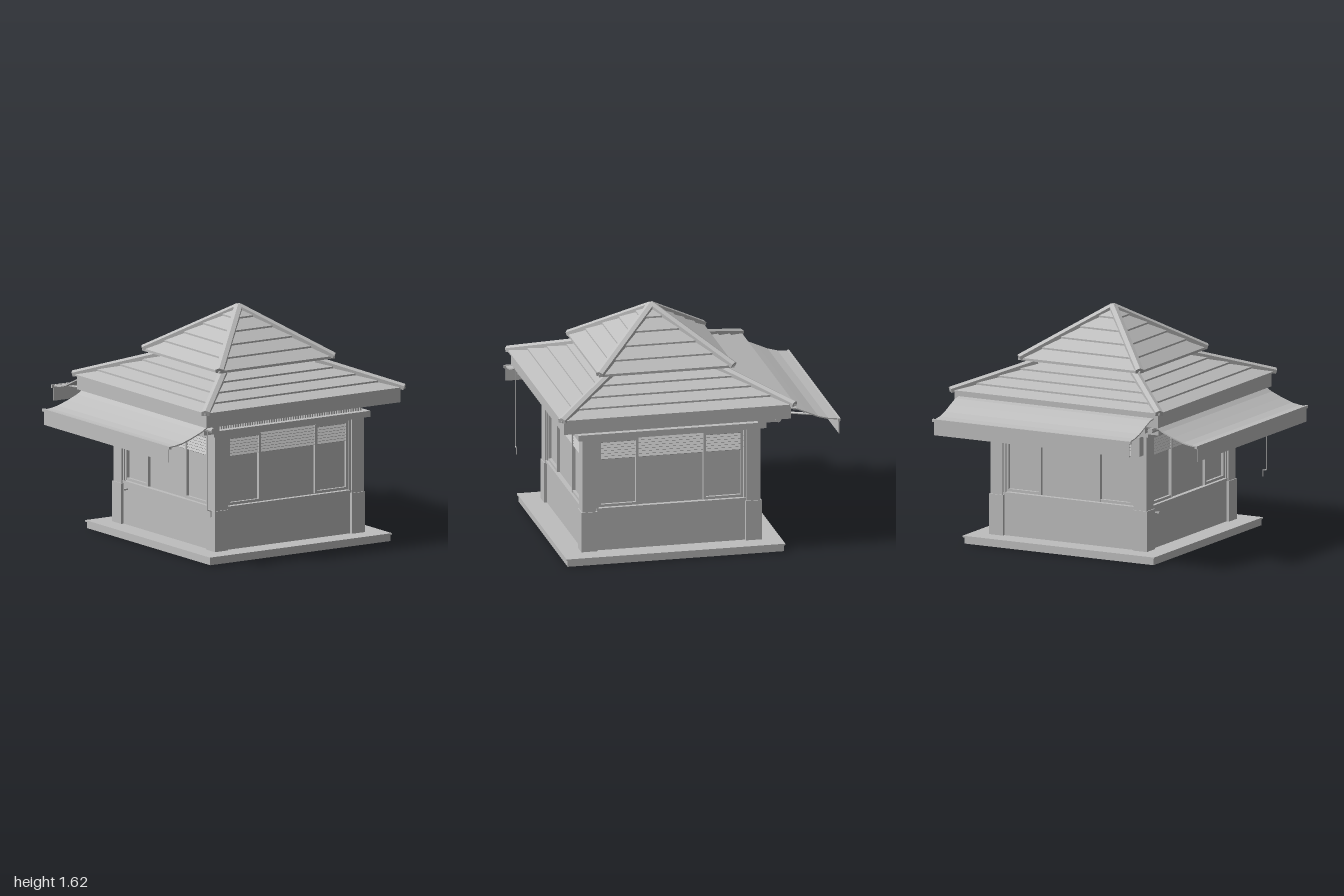
import * as THREE from 'three';
import { mergeGeometries } from 'three/addons/utils/BufferGeometryUtils.js';

const grey = new THREE.MeshStandardMaterial({ color: 0xbebebe });
grey.name = 'plain grey';
grey.flatShading = true;

function add(parent, geometry, name, x = 0, y = 0, z = 0) {
  const m = new THREE.Mesh(geometry, grey);
  m.name = name;
  m.position.set(x, y, z);
  parent.add(m);
  return m;
}

// Box given by its limits on each axis
function slab(parent, name, x0, x1, y0, y1, z0, z1) {
  return add(parent, new THREE.BoxGeometry(x1 - x0, y1 - y0, z1 - z0), name,
    (x0 + x1) / 2, (y0 + y1) / 2, (z0 + z1) / 2);
}

// Square solid from a profile of [half width, height]
function squareLathe(parent, name, profile) {
  const pts = profile.map(([h, y]) => new THREE.Vector2(h * Math.SQRT2, y));
  return add(parent, new THREE.LatheGeometry(pts, 4, Math.PI / 4), name);
}

// Lapped boards climbing from (h0, y0) to (h1, y1)
function boards(h0, y0, h1, y1, n, lap) {
  const out = [];
  for (let i = 0; i < n; i++) {
    const a = i / n, b = (i + 1) / n;
    out.push([h0 + (h1 - h0) * a, y0 + (y1 - y0) * a + lap]);
    out.push([h0 + (h1 - h0) * b, y0 + (y1 - y0) * b]);
  }
  return out;
}

// Ridge cap with a peaked section between two points
function hipCap(parent, a, b) {
  const w = 0.028;
  const s = new THREE.Shape([[-w, -0.022], [w, -0.022], [w, 0.006], [0, 0.018], [-w, 0.006]]
    .map(p => new THREE.Vector2(...p)));
  const m = add(parent, new THREE.ExtrudeGeometry(s, { depth: a.distanceTo(b), bevelEnabled: false }), 'hipCap');
  m.position.copy(a);
  m.lookAt(b);
}

function rod(parent, name, a, b, r) {
  const m = add(parent, new THREE.CylinderGeometry(r, r, a.distanceTo(b), 8), name);
  m.position.copy(a).add(b).multiplyScalar(0.5);
  m.quaternion.setFromUnitVectors(new THREE.Vector3(0, 1, 0), b.clone().sub(a).normalize());
}

// One wall facing +z, with its corner post
function wallSide() {
  const g = new THREE.Group();
  g.name = 'wallSide';
  slab(g, 'lowerPanel', -0.52, 0.52, 0.05, 0.345, 0.57, 0.6);
  slab(g, 'glass', -0.52, 0.52, 0.345, 0.87, 0.565, 0.575);
  slab(g, 'sill', -0.515, 0.515, 0.342, 0.36, 0.56, 0.608);
  slab(g, 'windowHead', -0.515, 0.515, 0.85, 0.867, 0.56, 0.603);
  for (const s of [-1, 1])
    slab(g, 'windowJamb', s * 0.508 - 0.008, s * 0.508 + 0.008, 0.345, 0.866, 0.56, 0.603);

  // side sashes
  for (const s of [-1, 1]) {
    for (const x of [0.232, 0.488]) slab(g, 'sashStile', s * x - 0.009, s * x + 0.009, 0.365, 0.848, 0.572, 0.597);
    for (const y of [0.374, 0.839]) slab(g, 'sashRail', s * 0.36 - 0.12, s * 0.36 + 0.12, y - 0.009, y + 0.009, 0.572, 0.595);
  }
  // louvre slats
  for (let i = 0; i < 7; i++) {
    const m = add(g, new THREE.BoxGeometry(1.0, 0.018, 0.006), 'louvreSlat', 0, 0.715 + i * 0.02, 0.586);
    m.rotation.x = -0.6;
  }
  // corner post and its thicker foot
  slab(g, 'cornerPost', 0.517, 0.613, 0.05, 0.87, 0.517, 0.613);
  slab(g, 'postFoot', 0.51, 0.62, 0.05, 0.34, 0.51, 0.62);

  // lintel and ribbed band
  slab(g, 'lintel', -0.645, 0.645, 0.865, 0.907, 0.55, 0.645);
  slab(g, 'bandBacking', -0.59, 0.59, 0.905, 1.0, 0.57, 0.588);
  const ribs = [];
  for (let i = 0; i <= 60; i++)
    ribs.push(new THREE.BoxGeometry(0.01, 0.09, 0.014).translate(-0.594 + i * 0.0198, 0.95, 0.595));
  add(g, mergeGeometries(ribs), 'ribs');
  slab(g, 'lampBar', -0.125, 0.125, 0.95, 0.966, 0.6, 0.63);
  return g;
}

// Awning running out along local +x; profile points are [out, height]
function awning(name, length, profile, bracketY) {
  const g = new THREE.Group();
  g.name = name;
  const t = 0.008;
  const under = profile.map(([x, y]) => [x - t * 0.4, y - t]).reverse();
  const shape = new THREE.Shape([...profile, ...under].map(p => new THREE.Vector2(...p)));
  const geo = new THREE.ExtrudeGeometry(shape, { depth: length, bevelEnabled: false });
  add(g, geo, 'canopy', 0, 0, -length / 2);
  const [tipX, tipY] = profile[profile.length - 1];
  const L = length / 2;
  slab(g, 'valance', tipX - 0.006, tipX, tipY - 0.108, tipY, -L, L);
  slab(g, 'frontRail', tipX - 0.014, tipX + 0.004, tipY - 0.016, tipY + 0.004, -L - 0.015, L + 0.015);
  rod(g, 'roller', new THREE.Vector3(0.72, bracketY + 0.02, -L), new THREE.Vector3(0.72, bracketY + 0.02, L), 0.02);
  // folding arms and brackets
  for (const s of [-1, 1]) {
    const root = new THREE.Vector3(0.69, bracketY - 0.01, s * (L - 0.12));
    const elbow = new THREE.Vector3(0.86, bracketY - 0.035, s * (L - 0.3));
    const tip = new THREE.Vector3(tipX - 0.01, tipY - 0.015, s * (L - 0.12));
    rod(g, 'armInner', root, elbow, 0.009);
    rod(g, 'armOuter', elbow, tip, 0.008);
    slab(g, 'bracket', 0.6, 0.73, bracketY - 0.03, bracketY + 0.05, s * (L - 0.12) - 0.015, s * (L - 0.12) + 0.015);
  }
  return g;
}

export function createModel() {
  const model = new THREE.Group();
  model.name = 'kiosk';

  // open base plinth and four walls
  const body = new THREE.Group();
  body.name = 'body';
  squareLathe(body, 'plinth', [[0.5, 0], [0.743, 0], [0.743, 0.045], [0.752, 0.045], [0.752, 0.056], [0.5, 0.056], [0.5, 0]]);
  for (let i = 0; i < 4; i++) {
    const side = wallSide();
    side.rotation.y = i * Math.PI / 2;
    body.add(side);
  }
  slab(body, 'backMotor', -0.59, -0.53, 0.73, 0.865, -0.67, -0.61);
  slab(body, 'doorKnob', -0.63, -0.6, 0.3, 0.31, -0.47, -0.46);
  body.scale.z = 1.025;

  // two-tier hipped roof
  const roof = new THREE.Group();
  roof.name = 'roof';
  squareLathe(roof, 'lowerRoof', [[0, 1.0], [0.765, 1.0], [0.765, 0.973], [0.8, 0.973], [0.8, 1.07], [0.825, 1.07],
    ...boards(0.825, 1.07, 0.38, 1.24, 4, 0.012), [0, 1.24]]);
  squareLathe(roof, 'upperRoof', [[0.36, 1.22], [0.36, 1.263], [0.478, 1.263],
    ...boards(0.478, 1.268, 0, 1.602, 5, 0.012)]);
  for (const sx of [-1, 1]) for (const sz of [-1, 1]) {
    const at = (h, y) => new THREE.Vector3(sx * h, y, sz * h);
    hipCap(roof, at(0.822, 1.086), at(0.385, 1.254));
    hipCap(roof, at(0.475, 1.285), at(0.003, 1.606));
  }

  // awnings on the right and back sides
  const sideAwning = awning('sideAwning', 1.54,
    [[0.77, 0.975], [0.82, 0.945], [0.9, 0.912], [0.98, 0.884], [1.04, 0.873], [1.093, 0.87]], 0.92);
  sideAwning.rotation.y = Math.PI;
  const backAwning = awning('backAwning', 1.53,
    [[0.79, 1.04], [0.85, 1.032], [0.92, 1.002], [1.0, 0.966], [1.07, 0.947], [1.15, 0.937]], 0.94);
  backAwning.rotation.y = Math.PI / 2;

  // hanging crank for the side awning
  const crank = new THREE.Group();
  crank.name = 'crank';
  const c = [[-0.775, 0.95], [-0.775, 0.39], [-0.748, 0.385], [-0.748, 0.34]].map(([x, y]) => new THREE.Vector3(x, y, 0.775));
  for (let i = 0; i < 3; i++) rod(crank, 'crankRod', c[i], c[i + 1], 0.004);

  const house = new THREE.Group();
  house.name = 'house';
  house.add(body, roof, sideAwning, backAwning, crank);
  house.position.set(0.126, 0, 0.154);
  model.add(house);
  return model;
}
